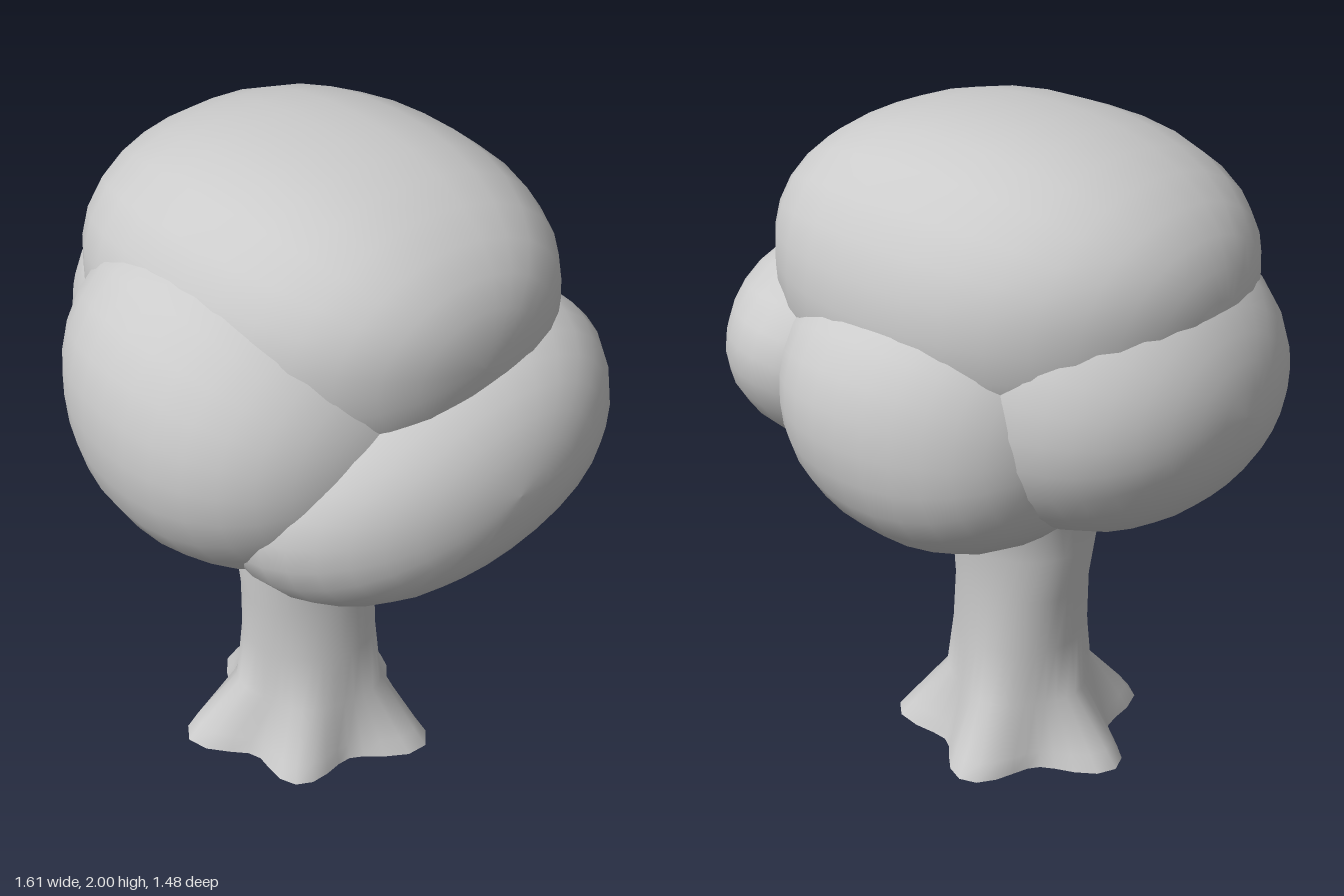
import * as THREE from 'three';

const material = new THREE.MeshStandardMaterial({ color: 0xcccccc });
const barkMaterial = new THREE.MeshStandardMaterial({ color: 0xcccccc, side: THREE.DoubleSide });

// One leaf clump: an ellipsoid squared a little in plan and profile, with soft repeatable lumps
function clump({ name, at, radii, tilt = [0, 0, 0], seed, plan = 2, profile = 2.1, lump = 0.014 }) {
  const across = 28, down = 18;
  const geo = new THREE.SphereGeometry(1, across, down);
  geo.rotateZ(Math.PI / 2); // poles point sideways
  const pos = geo.attributes.position;
  const v = new THREE.Vector3();
  for (let i = 0; i < pos.count; i++) {
    v.fromBufferAttribute(pos, i).normalize();
    const flat = (Math.abs(v.x) ** plan + Math.abs(v.z) ** plan) ** (1 / plan);
    const norm = (flat ** profile + Math.abs(v.y) ** profile) ** (1 / profile);
    const bump = Math.sin(3.1 * v.x + seed) * Math.sin(3.7 * v.y + seed * 2) +
      0.6 * Math.sin(5.3 * v.z + seed * 3 + 2 * v.x);
    v.multiplyScalar((1 + lump * bump) / norm);
    pos.setXYZ(i, v.x * radii[0], v.y * radii[1], v.z * radii[2]);
  }
  geo.computeVertexNormals();
  // Share the normals across the seam so that it stays invisible
  const n = geo.attributes.normal;
  for (let r = 0; r <= down; r++) {
    const a = r * (across + 1), b = a + across;
    v.set(n.getX(a) + n.getX(b), n.getY(a) + n.getY(b), n.getZ(a) + n.getZ(b)).normalize();
    n.setXYZ(a, v.x, v.y, v.z);
    n.setXYZ(b, v.x, v.y, v.z);
  }
  const mesh = new THREE.Mesh(geo, material);
  mesh.name = name;
  mesh.position.set(...at);
  mesh.rotation.set(...tilt);
  return mesh;
}

// Trunk cross-sections: height, radius, root strength, centre x and z
const rings = [
  [0, 0.235, 1, 0, 0.02],
  [0.05, 0.228, 0.8, 0, 0.02],
  [0.2, 0.205, 0.15, 0.01, 0.02],
  [0.38, 0.2, 0.03, 0.005, 0.02],
  [0.55, 0.2, 0, 0, 0.025],
  [0.7, 0.213, 0, -0.01, 0.025],
  [0.8, 0.217, 0, 0, 0.02],
  [0.9, 0.255, 0, 0, 0.02],
  [0.97, 0.3, 0, 0, 0.02],
];
// Roots: direction in degrees from +x towards +z, and reach beyond the trunk
const roots = [[-28, 0.17], [45, 0.1], [110, 0.165], [180, 0.14], [258, 0.115]];

// Open-ended trunk that spreads into pointed roots
function trunk() {
  const sides = 40, points = [], index = [];
  rings.forEach(([y, radius, strength, cx, cz], k) => {
    for (let i = 0; i < sides; i++) {
      const a = (i / sides) * Math.PI * 2;
      let r = radius * (1 + 0.02 * Math.sin(3 * a + k * 0.8));
      for (const [deg, reach] of roots) {
        const c = Math.max(0, Math.cos(a - THREE.MathUtils.degToRad(deg)));
        r += strength * reach * c ** 12;
      }
      points.push(cx + r * Math.cos(a), y, cz + r * Math.sin(a));
      if (k > 0) {
        const j = (i + 1) % sides, p = (k - 1) * sides, q = k * sides;
        index.push(p + i, q + i, p + j, p + j, q + i, q + j);
      }
    }
  });
  const geo = new THREE.BufferGeometry();
  geo.setAttribute('position', new THREE.Float32BufferAttribute(points, 3));
  geo.setIndex(index);
  geo.computeVertexNormals();
  const mesh = new THREE.Mesh(geo, barkMaterial);
  mesh.name = 'trunk';
  return mesh;
}

export function createModel() {
  const tree = new THREE.Group();
  tree.name = 'tree';
  tree.add(trunk());

  // Foliage: one broad cap above four overlapping clumps
  const foliage = new THREE.Group();
  foliage.name = 'foliage';
  const clumps = [
    { name: 'topClump', at: [-0.025, 1.57, -0.035], radii: [0.68, 0.43, 0.585], tilt: [0, 0, 0.02], seed: 1.3, plan: 2.25, profile: 2.3, lump: 0.012 },
    { name: 'frontClump', at: [0.05, 1.35, 0.235], radii: [0.54, 0.475, 0.505], seed: 2.6, plan: 2.2, profile: 2.15 },
    { name: 'rightClump', at: [-0.38, 1.34, -0.03], radii: [0.425, 0.41, 0.505], seed: 4.1 },
    { name: 'leftClump', at: [0.39, 1.235, -0.05], radii: [0.415, 0.345, 0.605], tilt: [0.2, 0, 0.08], seed: 5.2 },
    { name: 'backClump', at: [-0.03, 1.26, -0.3], radii: [0.48, 0.41, 0.44], seed: 0.4, plan: 2.15, profile: 2.2 },
  ];
  for (const c of clumps) foliage.add(clump(c));
  tree.add(foliage);
  return tree;
}
